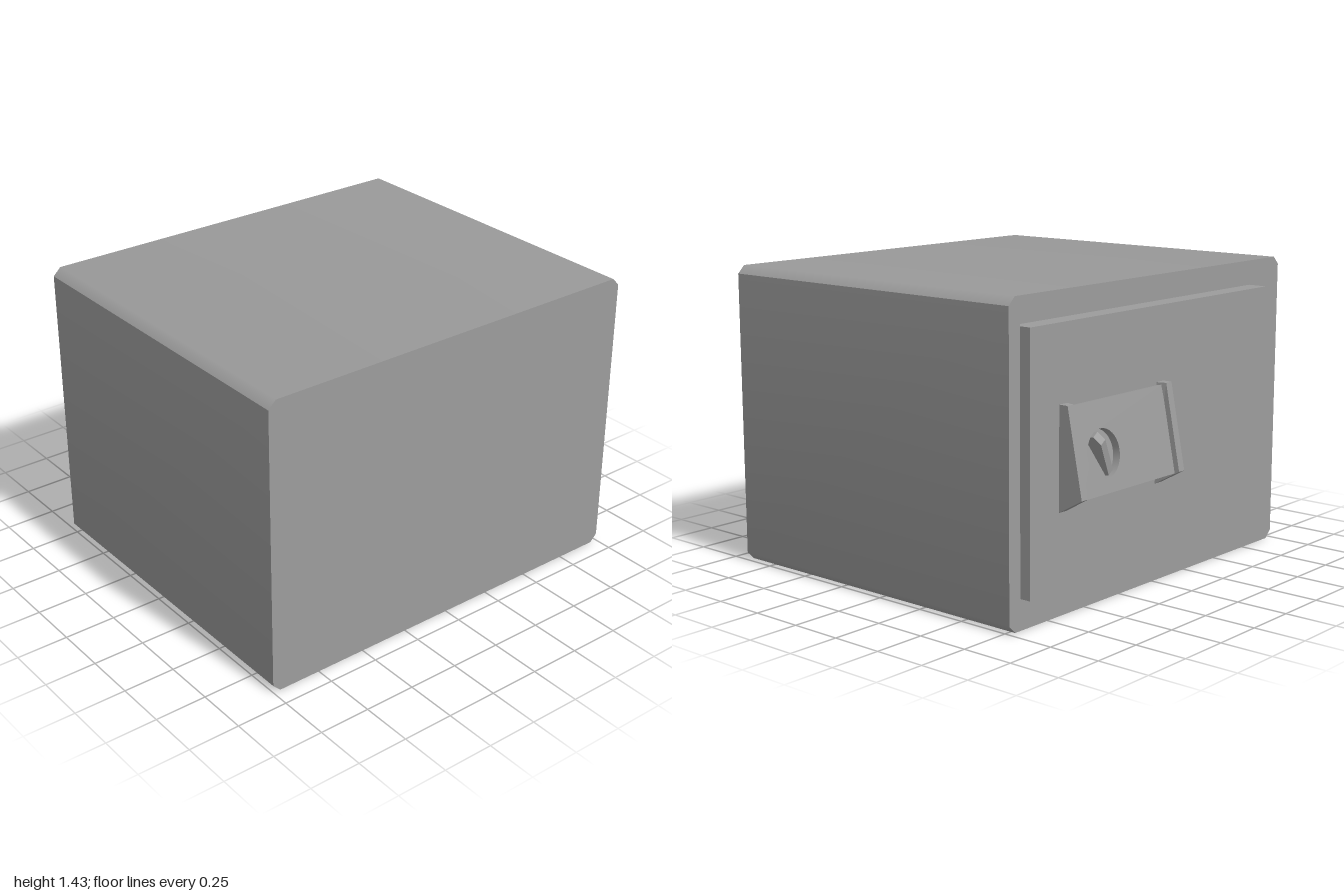
import * as THREE from 'three';
import { toCreasedNormals } from 'three/addons/utils/BufferGeometryUtils.js';

const material = new THREE.MeshStandardMaterial({ color: 0x9c9c9c });
const WIDTH = 1, HEIGHT = 1.427, CHAMFER = 0.037;

function polygon(points) {
  return new THREE.Shape(points.map(([x, y]) => new THREE.Vector2(x, y)));
}

function rectangle(x0, y0, x1, y1) {
  return polygon([[x0, y0], [x1, y0], [x1, y1], [x0, y1]]);
}

function extrude(shape, depth) {
  return new THREE.ExtrudeGeometry(shape, { depth, bevelEnabled: false, curveSegments: 32 });
}

// Extrudes a (z, y) outline from x = start towards -x
function extrudeAlongX(shape, start, end) {
  return extrude(shape, start - end).rotateY(-Math.PI / 2).translate(start, 0, 0);
}

function addMesh(parent, name, geometry) {
  const mesh = new THREE.Mesh(geometry, material);
  mesh.name = name;
  parent.add(mesh);
  return mesh;
}

// Chamfered rectangular section of the cabinet
function cabinetOutline() {
  const w = WIDTH, h = HEIGHT, c = CHAMFER;
  return polygon([
    [-w + c, 0], [w - c, 0], [w, c], [w, h - c],
    [w - c, h], [-w + c, h], [-w, h - c], [-w, c],
  ]);
}

// Blends the top into its chamfers and the sides into the lower chamfers;
// the walls of the door gap are shaded like the face they are cut in
function softenCabinet(geometry) {
  const p = geometry.attributes.position, n = geometry.attributes.normal;
  const s = Math.sin(Math.PI / 8), c = Math.cos(Math.PI / 8);
  for (let i = 0; i < p.count; i++) {
    if (Math.abs(n.getX(i)) > 0.5) continue;
    const y = p.getY(i), z = p.getZ(i), side = Math.sign(z);
    const outer = Math.abs(z) > 0.95;
    if (!outer) n.setXYZ(i, -1, 0, 0);
    else if (y > HEIGHT - 1e-3) n.setXYZ(i, 0, c, side * s);
    else if (Math.abs(y - CHAMFER) < 1e-3) n.setXYZ(i, 0, -s, side * c);
  }
  return geometry;
}

// Side cheek of the lock housing; its inner face tapers towards the front
function cheekGeometry(outerZ, inward) {
  const thickness = 0.055, taper = 0.015;
  const geometry = extrude(polygon([[-0.78, 0.465], [-0.78, 0.94], [-0.83, 0.94], [-0.91, 0.54]]), thickness);
  const innerZ = inward > 0 ? thickness : 0;
  const p = geometry.attributes.position;
  for (let i = 0; i < p.count; i++) {
    if (p.getX(i) < -0.8 && Math.abs(p.getZ(i) - innerZ) < 1e-4) p.setZ(i, innerZ - inward * taper);
  }
  geometry.computeVertexNormals();
  return geometry.translate(0, 0, inward > 0 ? outerZ : outerZ - thickness);
}

export function createModel() {
  const safe = new THREE.Group();
  safe.name = 'safe';

  // Cabinet, with a frame leaving a narrow gap around the door
  const rimX = -0.775, recessX = -0.69;
  addMesh(safe, 'cabinet', softenCabinet(extrudeAlongX(cabinetOutline(), 0.91, recessX)));
  const frame = cabinetOutline();
  frame.holes.push(rectangle(-0.93, 0.07, 0.93, 1.34));
  addMesh(safe, 'doorFrame', softenCabinet(extrudeAlongX(frame, recessX, rimX)));
  addMesh(safe, 'door', extrudeAlongX(rectangle(-0.88, 0.12, 0.88, 1.29), recessX, -0.785));

  // Lock housing
  const lock = new THREE.Group();
  lock.name = 'lockHousing';
  safe.add(lock);
  addMesh(lock, 'rearCheek', cheekGeometry(-0.69, 1));
  addMesh(lock, 'frontCheek', cheekGeometry(0.05, -1));
  const core = polygon([[-0.76, 0.475], [-0.76, 0.93], [-0.772, 0.93], [-0.847, 0.53]]);
  addMesh(lock, 'housingCore', extrude(core, 0.66).translate(0, 0, -0.65));

  // Sloping panel with a round knob well
  const panel = new THREE.Group();
  panel.name = 'slopingPanel';
  panel.position.set(-0.8475, 0.73, -0.32);
  panel.rotation.set(-Math.atan2(0.08, 0.4), -Math.PI / 2, 0, 'YXZ');
  lock.add(panel);
  const knobX = -0.15, knobY = -0.03, radius = 0.11;
  const plate = rectangle(-0.33, -0.204, 0.33, 0.204);
  plate.holes.push(new THREE.Path().absarc(knobX, knobY, radius, 0, Math.PI * 2, true));
  addMesh(panel, 'panelPlate', toCreasedNormals(extrude(plate, 0.042).translate(0, 0, -0.042), Math.PI / 6));

  // Low turning grip set diagonally across the well, rising to its upper end
  const grip = polygon([[-0.105, -0.045], [0.105, -0.045], [0.105, 0.012], [0.06, 0.03], [-0.105, -0.02]]);
  const gripMesh = addMesh(panel, 'knobGrip',
    extrude(grip, 0.04).translate(0, 0, -0.02).rotateX(Math.PI / 2).rotateZ(Math.PI / 2));
  gripMesh.position.set(knobX, knobY, 0);
  gripMesh.rotation.z = Math.PI / 6;

  return safe;
}
